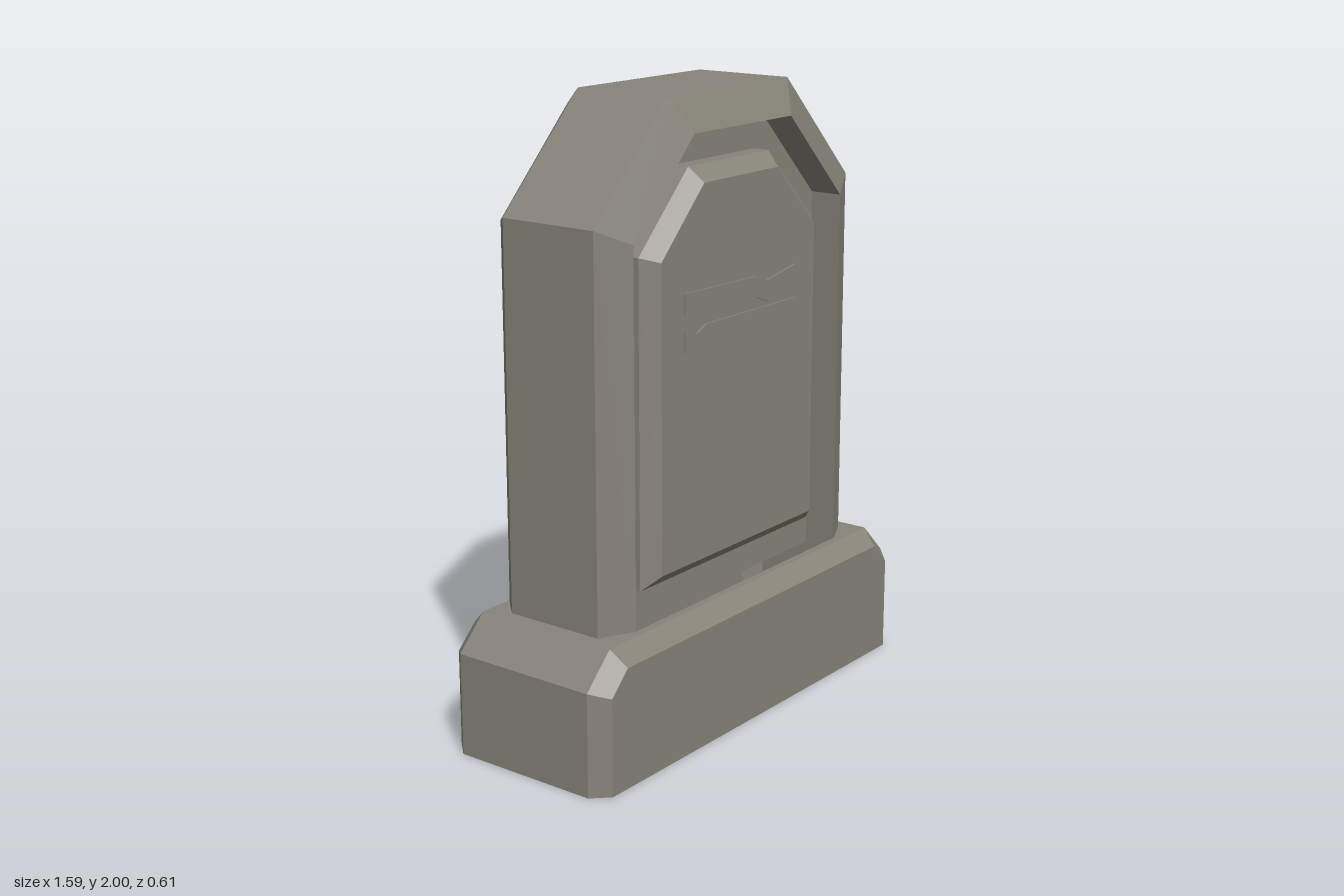
import * as THREE from 'three';

const stone = new THREE.MeshStandardMaterial({ color: 0x88847a, side: THREE.DoubleSide });
stone.name = 'weathered stone';

// Outline with clipped top corners, running from bottom right over the top to bottom left
function arch(halfWidth, shoulder, halfTop, top, bottom) {
  return [
    [halfWidth, bottom], [halfWidth, shoulder], [halfTop, top],
    [-halfTop, top], [-halfWidth, shoulder], [-halfWidth, bottom],
  ];
}

// Skin between outlines at given depths, with optional end faces
function loft(name, sections, { closed = false, back = false, front = false, skip = () => false } = {}) {
  const pos = [];
  const tri = (a, b, c) => pos.push(...a, ...b, ...c);
  const loops = sections.map(([outline, z]) => outline.map(([x, y]) => [x, y, z]));
  const n = loops[0].length;
  for (let s = 0; s < loops.length - 1; s++) {
    const a = loops[s], b = loops[s + 1];
    for (let i = 0; i < (closed ? n : n - 1); i++) {
      if (skip(s, i)) continue;
      const j = (i + 1) % n;
      tri(a[i], a[j], b[j]);
      tri(a[i], b[j], b[i]);
    }
  }
  const first = loops[0], last = loops[loops.length - 1];
  for (let i = 1; i < n - 1; i++) {
    if (back) tri(first[0], first[i + 1], first[i]);
    if (front) tri(last[0], last[i], last[i + 1]);
  }
  const geo = new THREE.BufferGeometry();
  geo.setAttribute('position', new THREE.Float32BufferAttribute(pos, 3));
  geo.computeVertexNormals();
  const mesh = new THREE.Mesh(geo, stone);
  mesh.name = name;
  return mesh;
}

const toShape = (pts) => new THREE.Shape(pts.map(([x, y]) => new THREE.Vector2(x, y)));

export function createModel() {
  const model = new THREE.Group();
  model.name = 'headstone';

  // Plinth: bevelled shell, open underneath, its top closed by a separate collar
  const baseOuter = arch(0.793, 0.33, 0.687, 0.435, 0);
  const baseInner = arch(0.742, 0.31, 0.668, 0.383, 0);
  model.add(loft('plinth', [
    [baseInner, -0.305], [baseOuter, -0.25], [baseOuter, 0.25], [baseInner, 0.303],
  ], { back: true, front: true, skip: (s, i) => s === 1 && i === 2 }));

  // Collar around the foot of the slab (shape y is -z)
  const collar = toShape([[-0.687, -0.25], [0.687, -0.25], [0.687, 0.25], [-0.687, 0.25]]);
  collar.holes.push(toShape([
    [0.535, -0.225], [0.645, -0.17], [0.645, 0.17], [0.583, 0.235],
    [-0.583, 0.235], [-0.645, 0.17], [-0.645, -0.17], [-0.535, -0.225],
  ]));
  const collarMesh = new THREE.Mesh(new THREE.ShapeGeometry(collar).rotateX(-Math.PI / 2), stone);
  collarMesh.position.y = 0.435;
  collarMesh.name = 'plinthTop';
  model.add(collarMesh);

  // Slab: bevelled back, bevelled front frame and a recessed panel
  const foot = 0.4;
  const slabBack = arch(0.583, 1.635, 0.28, 1.94, foot);
  const slabOuter = arch(0.645, 1.657, 0.302, 2, foot);
  const slabInner = arch(0.532, 1.605, 0.246, 1.89, foot);
  model.add(loft('slab', [
    [slabBack, -0.235], [slabOuter, -0.17], [slabOuter, 0.17], [slabInner, 0.225], [slabInner, 0.115],
  ], { back: true, front: true }));

  // Raised plaque inside the recess
  const plaqueOuter = arch(0.443, 1.547, 0.205, 1.784, 0.522);
  const plaqueInner = arch(0.395, 1.53, 0.188, 1.738, 0.567);
  model.add(loft('plaque', [
    [plaqueOuter, 0.115], [plaqueOuter, 0.17], [plaqueInner, 0.217],
  ], { closed: true, front: true }));

  // Two worn bars on the plaque
  const bars = [
    [[-0.287, 1.423], [-0.287, 1.355], [0.07, 1.35], [0.133, 1.325], [0.283, 1.355],
      [0.283, 1.418], [0.133, 1.392], [0.07, 1.414], [-0.19, 1.419]],
    [[-0.287, 1.308], [-0.287, 1.238], [-0.23, 1.223], [-0.182, 1.242], [0.283, 1.241],
      [0.283, 1.31], [-0.182, 1.311], [-0.228, 1.29]],
  ];
  bars.forEach((pts, i) => {
    const geo = new THREE.ExtrudeGeometry(toShape(pts), { depth: 0.006, bevelEnabled: false });
    const bar = new THREE.Mesh(geo, stone);
    bar.position.z = 0.217;
    bar.name = i ? 'lowerBar' : 'upperBar';
    model.add(bar);
  });

  return model;
}
